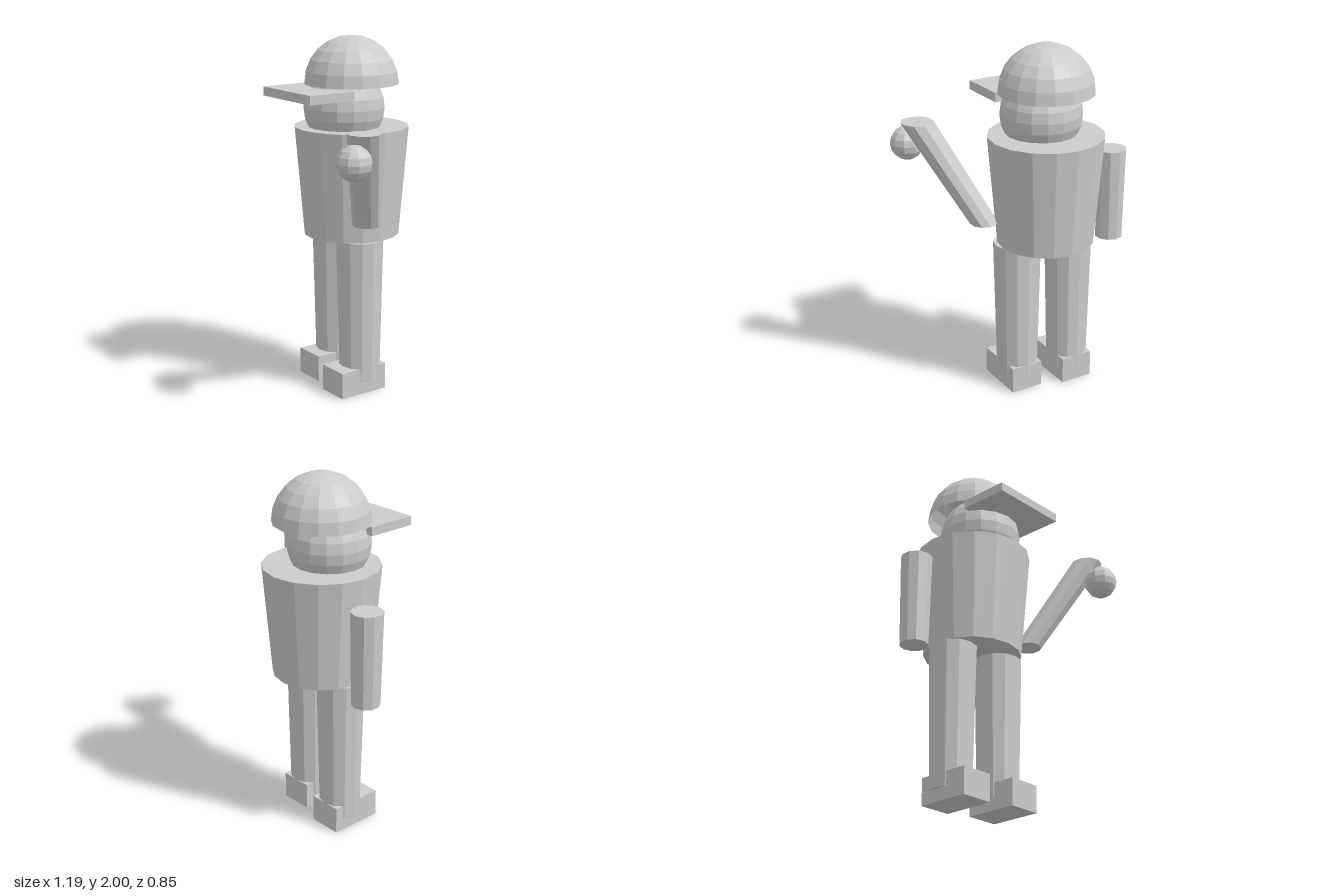
import * as THREE from 'three';

// One flat grey for the whole figure; double-sided for the open helmet shell
const grey = new THREE.MeshStandardMaterial({ color: 0xcccccc });
grey.name = 'plainGrey';
grey.flatShading = true;
grey.side = THREE.DoubleSide;

const CX = -0.114; // centre line of the body
const CZ = -0.104; // depth of torso and helmet

export function createModel() {
  const model = new THREE.Group();
  model.name = 'figure';

  const add = (name, geometry, x, y, z) => {
    const mesh = new THREE.Mesh(geometry, grey);
    mesh.name = name;
    mesh.position.set(x, y, z);
    model.add(mesh);
    return mesh;
  };

  // Upright tapered column between two heights
  const column = (name, rTop, rBottom, y0, y1, sides, x, z) =>
    add(name, new THREE.CylinderGeometry(rTop, rBottom, y1 - y0, sides), x, (y0 + y1) / 2, z);

  // Torso, widening to the shoulders
  column('torso', 0.322, 0.27, 0.885, 1.5, 16, CX, CZ);

  // Head, open half-sphere helmet and visor plate
  add('head', new THREE.SphereGeometry(0.228, 16, 12), CX, 1.61, -0.053);
  add('helmet', new THREE.SphereGeometry(0.265, 16, 6, 0, Math.PI * 2, 0, Math.PI / 2), CX, 1.735, CZ);
  add('visor', new THREE.BoxGeometry(0.456, 0.05, 0.285), CX, 1.7, 0.185);

  // Legs and feet, the left one a step ahead
  for (const [side, x, z] of [['left', 0.038, -0.052], ['right', -0.267, -0.102]]) {
    column(side + 'Leg', 0.133, 0.115, 0.07, 0.885, 12, x, z);
    add(side + 'Foot', new THREE.BoxGeometry(0.19, 0.15, 0.303), x, 0.075, z + 0.038);
  }

  // Right arm hangs straight down
  column('rightArm', 0.088, 0.078, 0.835, 1.36, 10, -0.514, -0.149);

  // Left arm is slanted outward and forward, with its ends kept level
  const arm = column('leftArm', 0.09, 0.077, 1.005, 1.572, 10, 0.343, 0.138);
  const shear = new THREE.Matrix4().set(
    1, 0.279 / 0.567, 0, 0,
    0, 1, 0, 0,
    0, 0.223 / 0.567, 1, 0,
    0, 0, 0, 1);
  arm.geometry.applyMatrix4(shear);

  // Ball hand, turned so a corner faces the front
  const hand = add('leftHand', new THREE.SphereGeometry(0.094, 10, 8), 0.505, 1.434, 0.331);
  hand.rotation.y = Math.PI / 2;

  return model;
}
